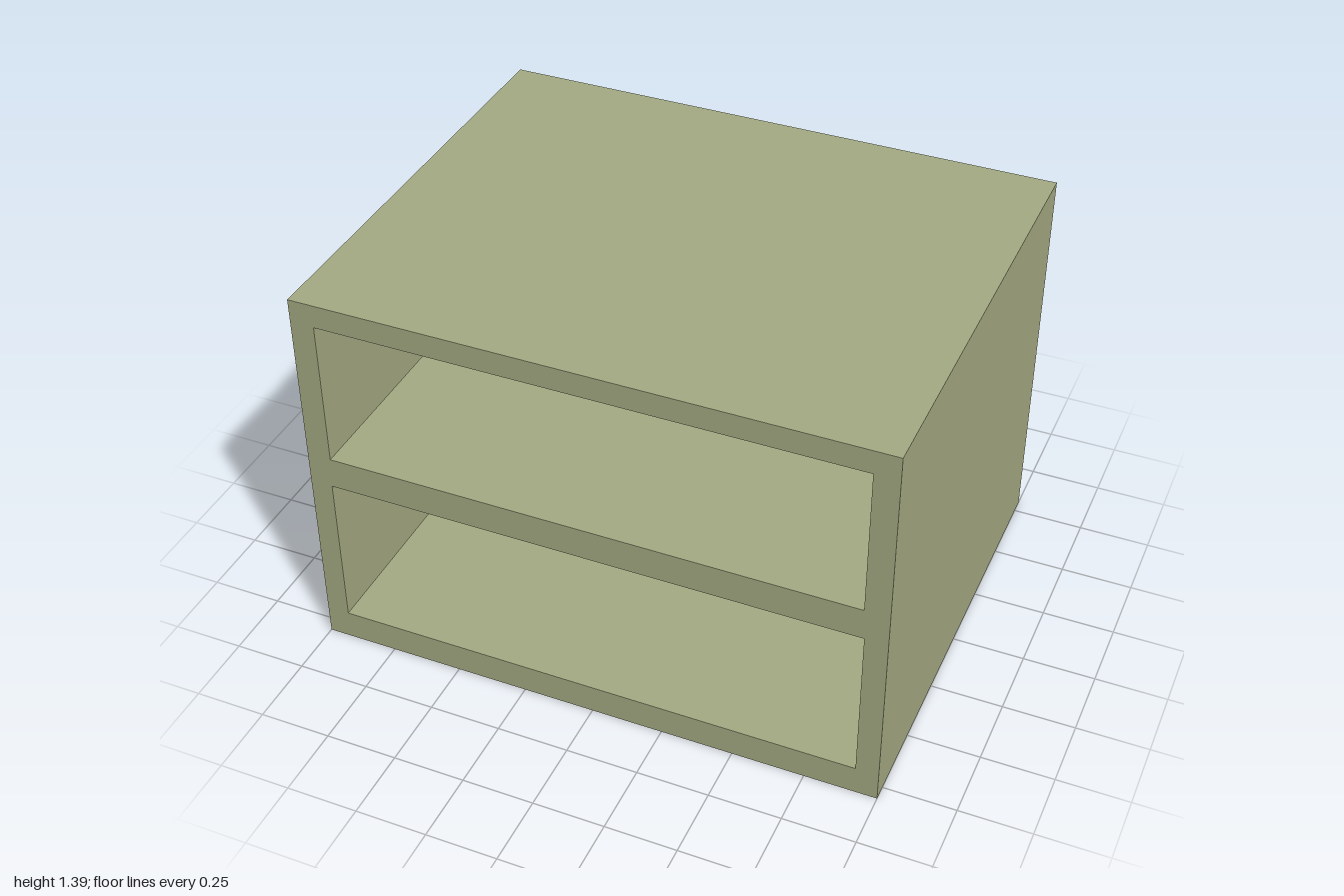
import * as THREE from 'three';

const W = 2, H = 1.386, D = 1.604, BACK = 0.08;
const FRONT = D / 2;

// Compartments: half width, bottom and top of each opening
const openings = [
  { name: 'lowerCompartment', half: 0.922, bottom: 0.105, top: 0.667 },
  { name: 'upperCompartment', half: 0.916, bottom: 0.78, top: 1.303 },
];

// Box without its front face; inward = true turns the faces to the inside
function openBox(w, h, d, inward) {
  const g = new THREE.BoxGeometry(w, h, d);
  const index = Array.from(g.index.array);
  index.splice(24, 6); // the +z face
  if (inward) {
    index.reverse();
    const n = g.attributes.normal;
    for (let i = 0; i < n.array.length; i++) n.array[i] *= -1;
  }
  g.setIndex(index);
  g.clearGroups();
  return g;
}

function rectangle(target, half, bottom, top) {
  target.moveTo(-half, bottom);
  target.lineTo(half, bottom);
  target.lineTo(half, top);
  target.lineTo(-half, top);
  target.closePath();
  return target;
}

export function createModel() {
  const model = new THREE.Group();
  model.name = 'openCabinet';
  const olive = new THREE.MeshStandardMaterial({ color: 0xa5ab83 });
  olive.name = 'olive';

  const add = (name, geometry, y, z) => {
    const mesh = new THREE.Mesh(geometry, olive);
    mesh.name = name;
    mesh.position.set(0, y, z);
    model.add(mesh);
  };

  // Outer shell: top, bottom, sides and back
  add('outerShell', openBox(W, H, D, false), H / 2, 0);

  // Front frame with the two openings
  const frame = rectangle(new THREE.Shape(), W / 2, 0, H);
  for (const o of openings) frame.holes.push(rectangle(new THREE.Path(), o.half, o.bottom, o.top));
  add('frontFrame', new THREE.ShapeGeometry(frame), 0, FRONT);

  // Inner walls of each compartment
  const depth = D - BACK;
  for (const o of openings) {
    add(o.name, openBox(o.half * 2, o.top - o.bottom, depth, true), (o.top + o.bottom) / 2, FRONT - depth / 2);
  }
  return model;
}
